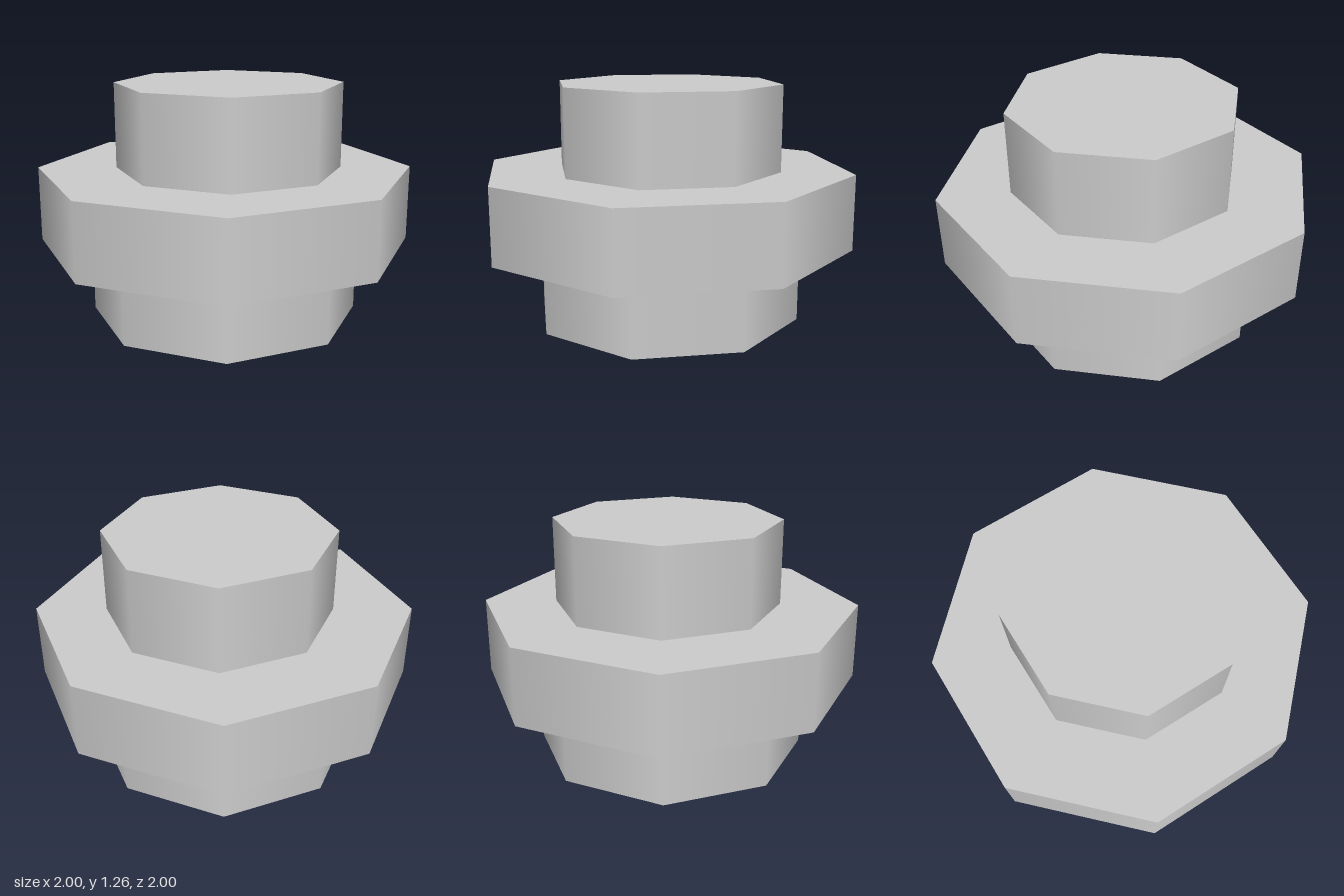
import * as THREE from 'three';

export function createModel() {
  const group = new THREE.Group();
  const material = new THREE.MeshStandardMaterial({ color: 0xcccccc });

  // Eight-sided drum with smooth-shaded sides and flat caps
  function drum(name, radius, bottom, top, x = 0, z = 0) {
    const mesh = new THREE.Mesh(new THREE.CylinderGeometry(radius, radius, top - bottom, 8), material);
    mesh.name = name;
    mesh.position.set(x, (bottom + top) / 2, z);
    group.add(mesh);
  }

  drum('base', 0.725, 0, 0.403);
  drum('flange', 1, 0.403, 0.805);
  // The top drum sits slightly off centre
  drum('topDrum', 0.603, 0.805, 1.26, 0.016, -0.015);

  return group;
}
